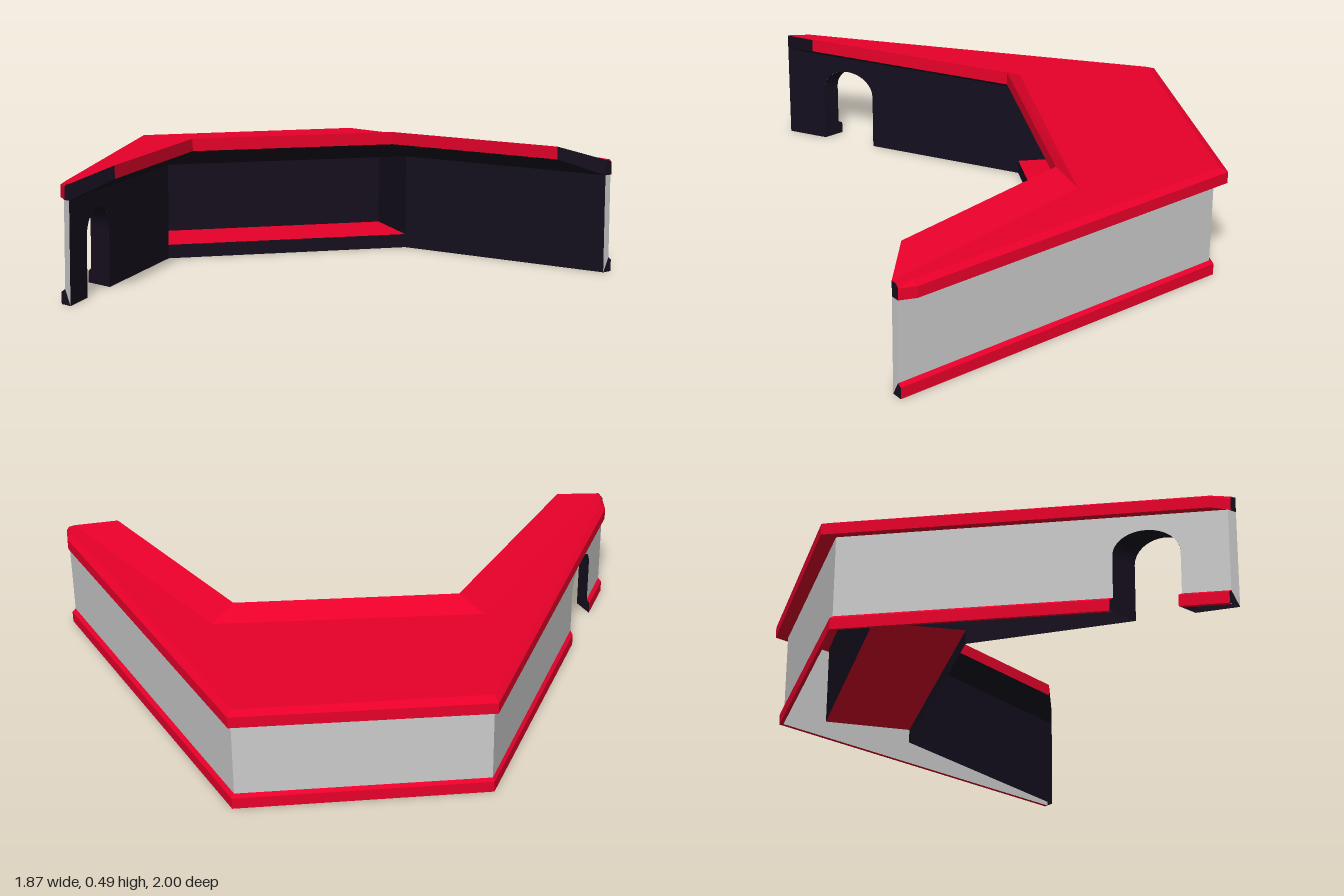
import * as THREE from 'three';

const make = color => new THREE.MeshStandardMaterial({ color, flatShading: true, side: THREE.DoubleSide });

export function createModel() {
  const group = new THREE.Group();
  const grey = make(0xcccccc), red = make(0xe8002a), dark = make(0x150f1e);

  const add = (name, geo, mat) => {
    const mesh = new THREE.Mesh(geo, mat);
    mesh.name = name;
    group.add(mesh);
  };
  // Skin of flat quads between successive rows of [x, y, z] points
  const strip = (name, mat, ...rows) => {
    const p = [];
    for (let r = 0; r + 1 < rows.length; r++) {
      const a = rows[r], b = rows[r + 1];
      for (let i = 0; i + 1 < a.length; i++)
        p.push(...a[i], ...b[i], ...b[i + 1], ...a[i], ...b[i + 1], ...a[i + 1]);
    }
    const geo = new THREE.BufferGeometry();
    geo.setAttribute('position', new THREE.Float32BufferAttribute(p, 3));
    geo.computeVertexNormals();
    add(name, geo, mat);
  };
  // Lift plan points [x, z] to height y
  const up = ([x, z], y) => [x, y, z];
  const at = (path, y) => path.map(p => up(p, y));
  const along = (a, b) => z => a[0] + (b[0] - a[0]) * (z - a[1]) / (b[1] - a[1]);

  // Plan lines, running from the back wing tip to the front wing tip
  const outer = [[0.933, -0.97], [-0.49, -0.97], [-0.88, -0.12], [0.05, 0.995]];
  const inner = [[0.933, -0.94], [0.01, -0.79], [-0.44, 0.11], [0.087, 1.0]];
  const trim = [[0.933, -0.985], [-0.5, -0.985], [-0.893, -0.12], [0.035, 1.0]];
  const xOuter = along(outer[2], outer[3]);
  const xInner = along(inner[2], inner[3]);
  const xTrim = along(trim[2], trim[3]);
  const WALL = 0.38, Z0 = 0.67, Z1 = 0.86, ARCH = 0.32;
  const TRIM = 0.045, TRIM_TOP = 0.056;
  const R = (Z1 - Z0) / 2, ZC = (Z0 + Z1) / 2;

  // Front wing skins, each with an arched doorway
  const archedSkin = (name, mat, xAt, start, end) => {
    const s = new THREE.Shape();
    s.moveTo(start, 0);
    s.lineTo(Z0, 0);
    s.lineTo(Z0, ARCH - R);
    s.absarc(ZC, ARCH - R, R, Math.PI, 0, true);
    s.lineTo(Z1, 0);
    s.lineTo(end, 0);
    s.lineTo(end, WALL);
    s.lineTo(start, WALL);
    const geo = new THREE.ShapeGeometry(s, 12).toNonIndexed();
    const p = geo.attributes.position;
    for (let i = 0; i < p.count; i++) p.setXYZ(i, xAt(p.getX(i)), p.getY(i), p.getX(i));
    geo.computeVertexNormals();
    add(name, geo, mat);
  };
  archedSkin('frontWingOuterWall', grey, xOuter, outer[2][1], outer[3][1]);
  archedSkin('frontWingInnerWall', dark, xInner, inner[2][1], inner[3][1]);

  // Doorway lining
  const arch = [[Z0, 0]];
  for (let i = 0; i <= 16; i++) {
    const t = Math.PI * (1 - i / 16);
    arch.push([ZC + R * Math.cos(t), ARCH - R + R * Math.sin(t)]);
  }
  arch.push([Z1, 0]);
  strip('doorwayLining', dark,
    arch.map(([z, y]) => [xOuter(z), y, z]), arch.map(([z, y]) => [xInner(z), y, z]));

  // Remaining walls; each wing end is grey above a slanted dark foot
  const outerBack = outer.slice(0, 3);
  strip('outerWalls', grey, at(outerBack, 0), at(outerBack, WALL));
  strip('backWingInnerWall', dark, at(inner.slice(0, 2), 0), at(inner.slice(0, 2), WALL));
  for (const i of [0, 3]) {
    const o = outer[i], n = inner[i], t = trim[i];
    strip('wingEnd', grey, [up(o, TRIM_TOP), up(n, 0)], at([o, n], WALL));
    strip('wingEndFoot', dark, [up(o, TRIM_TOP), up(t, TRIM)], [up(n, 0), up(t, 0)]);
  }

  // Recess in the middle section with its raised floor, open beneath
  const recess = [inner[1], [-0.3, -0.945], [-0.74, -0.06], inner[2]];
  const STEP = 0.055;
  const [a, b, c, d] = recess;
  strip('recessWalls', dark, at(recess, STEP), at(recess, WALL));
  strip('recessFloor', red, at([a, d], STEP), at([b, c], STEP));
  strip('recessFloorEdge', dark, at([a, d], 0), at([a, d], STEP));

  // Base trim along the outer walls, interrupted by the doorway
  const spans = (path, xAt) => [
    [...path.slice(0, 3), [xAt(Z0), Z0]],
    [[xAt(Z1), Z1], path[3]],
  ];
  const outerSpans = spans(outer, xOuter), trimSpans = spans(trim, xTrim);
  outerSpans.forEach((o, i) => {
    const t = trimSpans[i];
    strip('baseTrim', red, at(o, 0), at(t, 0), at(t, TRIM), at(o, TRIM_TOP));
    const k = i ? 0 : o.length - 1;
    strip('baseTrimEnd', dark, at([o[k], t[k]], 0), [up(o[k], TRIM_TOP), up(t[k], TRIM)]);
  });

  // Roof: fascia, bevel, flat top, then a rise to the inner edge
  const rim = [[0.933, -0.975], [0.87, -1], [-0.53, -1], [-0.935, -0.14], [-0.01, 0.965], [0.06, 1]];
  const bevel = [[0.933, -0.965], [0.88, -0.975], [-0.512, -0.975], [-0.9, -0.138], [0.006, 0.95], [0.068, 0.995]];
  const doubled = path => [path[0], ...path, path[3]];
  const edge = [[0.8, -0.81], [0.03, -0.69], [-0.34, 0.065], [0.095, 0.8]];
  strip('roof', red,
    at(rim, WALL), at(rim, 0.425), at(bevel, 0.44), at(doubled(inner), 0.44),
    at(doubled(edge), 0.49), at(doubled(edge), 0.44));
  strip('ceiling', red, at(rim, WALL), at(doubled(inner), WALL));
  strip('soffit', dark, at(edge, 0.44), at(inner, WALL));

  // Dark caps at both roof ends
  for (const [i, k] of [[0, 0], [3, 5]]) {
    const n = inner[i], e = edge[i], r = rim[k];
    strip('roofEndCap', dark,
      [up(e, 0.49), up(n, 0.44)], [up(e, 0.44), up(n, 0.44)], [up(e, 0.44), up(n, WALL)]);
    strip('roofTip', dark, [up(n, WALL), up(n, 0.44)], [up(r, WALL), up(r, 0.43)]);
  }
  return group;
}
